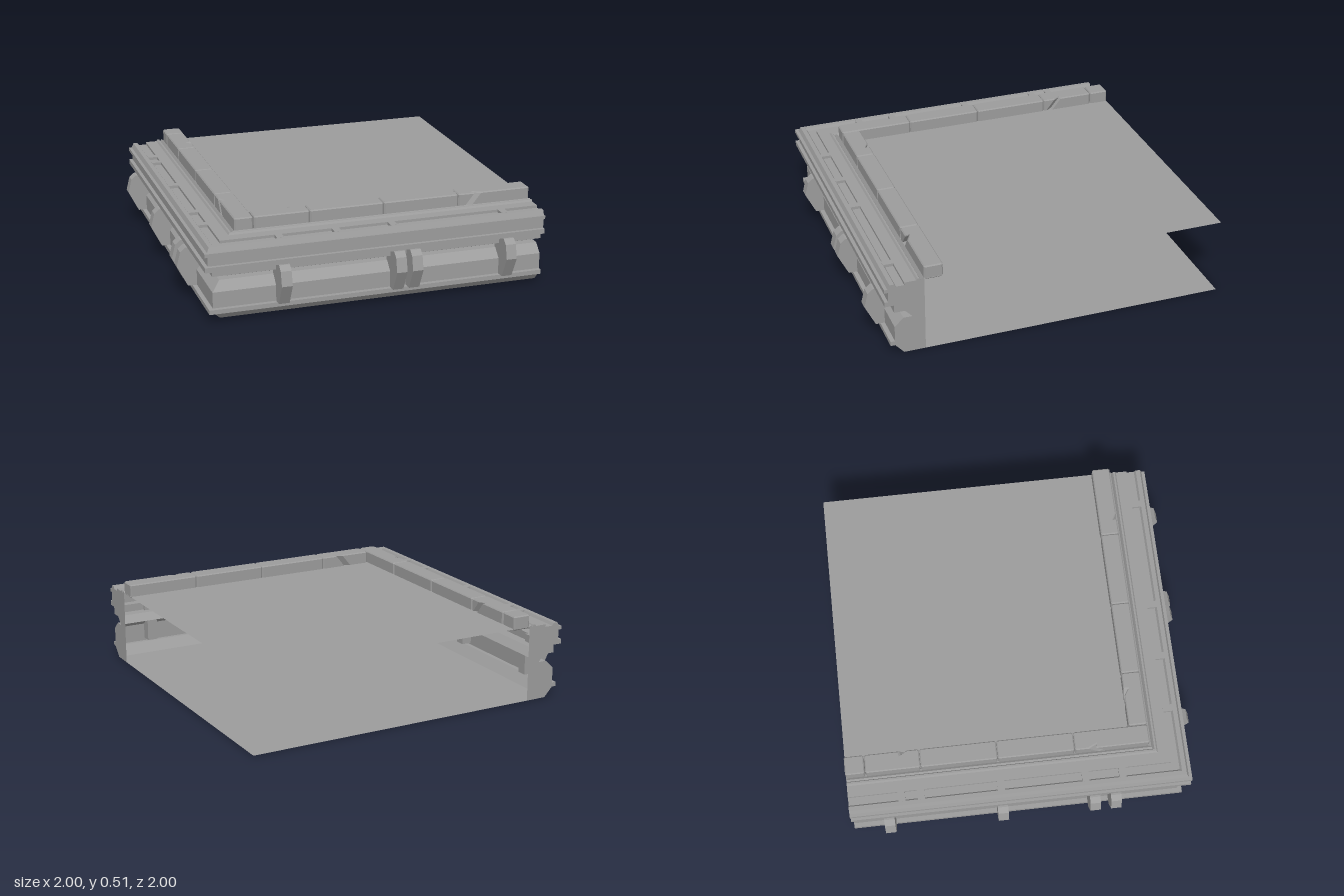
import * as THREE from 'three';

const material = new THREE.MeshStandardMaterial({ color: 0x9c9c9c, flatShading: true, side: THREE.DoubleSide });

// Trim cross-section, as [distance outward, height], from the ground up
const profile = [
  [0.84, 0], [0.89, 0.055], [0.915, 0.055], [0.915, 0.08], [0.89, 0.08], [0.89, 0.17],
  [0.84, 0.218], [0.79, 0.218], [0.83, 0.26], [0.89, 0.26], [0.89, 0.305], [0.94, 0.305],
  [0.94, 0.333], [0.92, 0.333], [0.92, 0.39], [0.94, 0.39], [0.94, 0.41], [0.922, 0.41],
  [0.91, 0.435], [0.885, 0.435], [0.875, 0.42], [0.83, 0.42], [0.83, 0.435], [0.765, 0.435],
  [0.757, 0.445], [0.747, 0.445], [0.74, 0.432], [0.732, 0.445], [0.72, 0.437]
];

const clampProfile = [
  [0.83, 0.08], [0.94, 0.08], [1, 0.2], [0.98, 0.28], [0.95, 0.305], [0.87, 0.305],
  [0.87, 0.26], [0.83, 0.26]
];

const toShape = pts => new THREE.Shape(pts.map(([x, y]) => new THREE.Vector2(x, y)));

// Mitred sweep from the corner diagonal to the open end
function trimGeometry() {
  const pos = [];
  for (let i = 0; i < profile.length - 1; i++) {
    const [oa, ya] = profile[i], [ob, yb] = profile[i + 1];
    const p = [-oa, ya, oa], q = [1, ya, oa], r = [1, yb, ob], s = [-ob, yb, ob];
    pos.push(...p, ...q, ...r, ...p, ...r, ...s);
  }
  const g = new THREE.BufferGeometry();
  g.setAttribute('position', new THREE.Float32BufferAttribute(pos, 3));
  return g;
}

// Flat cap closing the open end of the trim
function capGeometry() {
  return new THREE.ShapeGeometry(toShape([[0.72, 0], ...profile])).rotateY(-Math.PI / 2).translate(1, 0, 0);
}

function clampGeometry(u) {
  return new THREE.ExtrudeGeometry(toShape(clampProfile), { depth: 0.06, bevelEnabled: false })
    .translate(0, 0, -0.03).rotateY(-Math.PI / 2).translate(u, 0, 0);
}

// Bevelled kerb stone with an optional slanting crack in its inner or outer edge
function stoneGeometry(a, b, crack) {
  const inner = 0.615, outer = 0.72, c = 0.008, top = 0.508, bevel = 0.006;
  const pts = [[a, inner + c], [a + c, inner]];
  if (crack && crack.side === 'inner')
    pts.push([crack.u - 0.03, inner], [crack.u + 0.008, inner + 0.024], [crack.u + 0.012, inner]);
  pts.push([b - c, inner], [b, inner + c], [b, outer - c], [b - c, outer]);
  if (crack && crack.side === 'outer')
    pts.push([crack.u + 0.03, outer], [crack.u - 0.018, outer - 0.024], [crack.u - 0.012, outer]);
  pts.push([a + c, outer], [a, outer - c]);
  const g = new THREE.ExtrudeGeometry(toShape(pts), {
    depth: 0.08 - 2 * bevel, bevelThickness: bevel, bevelSize: bevel, bevelOffset: -bevel, bevelSegments: 1
  }).rotateX(Math.PI / 2).translate(0, top - bevel, 0);
  // Lean the crack sideways as it runs down the face
  const p = g.attributes.position;
  for (let i = 0; crack && i < p.count; i++)
    if (Math.abs(p.getX(i) - crack.u) < 0.055) p.setX(i, p.getX(i) - (top - p.getY(i)) * 0.8);
  return g;
}

// Mirror a front-arm geometry across the corner diagonal, keeping faces outward
function mirrorAcrossCorner(g) {
  const p = g.attributes.position;
  for (let i = 0; i < p.count; i++) p.setXYZ(i, -p.getZ(i), p.getY(i), -p.getX(i));
  for (let i = 0; i < p.count; i += 3) {
    const v = [1, 2].map(k => new THREE.Vector3().fromBufferAttribute(p, i + k));
    p.setXYZ(i + 1, v[1].x, v[1].y, v[1].z);
    p.setXYZ(i + 2, v[0].x, v[0].y, v[0].z);
  }
  return g;
}

// One arm of the corner; u runs along the arm away from the corner
function buildArm(name, mirrored, { clamps, bridges, stones }) {
  const arm = new THREE.Group();
  arm.name = name;
  const add = (part, geometry) => {
    let g = geometry.index ? geometry.toNonIndexed() : geometry;
    if (mirrored) g = mirrorAcrossCorner(g);
    g.computeVertexNormals();
    const mesh = new THREE.Mesh(g, material);
    mesh.name = part;
    arm.add(mesh);
  };
  add('trim', trimGeometry());
  add('endCap', capGeometry());
  clamps.forEach(u => add('clamp', clampGeometry(u)));
  bridges.forEach(u => add('grooveBridge', new THREE.BoxGeometry(0.04, 0.016, 0.057).translate(u, 0.428, 0.858)));
  stones.forEach(([a, b, crack]) => add('kerbStone', stoneGeometry(a, b, crack)));
  return arm;
}

function slab(name, size, y) {
  const mesh = new THREE.Mesh(new THREE.PlaneGeometry(size, size).rotateX(-Math.PI / 2), material);
  mesh.name = name;
  mesh.position.set(1 - size / 2, y, size / 2 - 1);
  return mesh;
}

export function createModel() {
  const model = new THREE.Group();
  model.name = 'platformCorner';

  // Ground sheet and upper floor
  model.add(slab('base', 1.84, 0), slab('floor', 1.72, 0.437));

  model.add(buildArm('frontArm', false, {
    clamps: [-0.51, 0.138, 0.23, 0.78],
    bridges: [-0.51, -0.19, 0.13, 0.78],
    stones: [
      [-0.61, -0.296, { u: -0.4, side: 'inner' }], [-0.294, 0.13], [0.132, 0.57],
      [0.572, 0.998, { u: 0.68, side: 'outer' }]
    ]
  }));

  model.add(buildArm('sideArm', true, {
    clamps: [-0.51, -0.39, 0.138, 0.785],
    bridges: [-0.55, -0.34, 0.14, 0.59, 0.7],
    stones: [
      [-0.72, -0.296, { u: -0.4, side: 'outer' }], [-0.294, 0.14], [0.142, 0.575],
      [0.577, 0.886, { u: 0.68, side: 'inner' }], [0.89, 1]
    ]
  }));

  return model;
}
